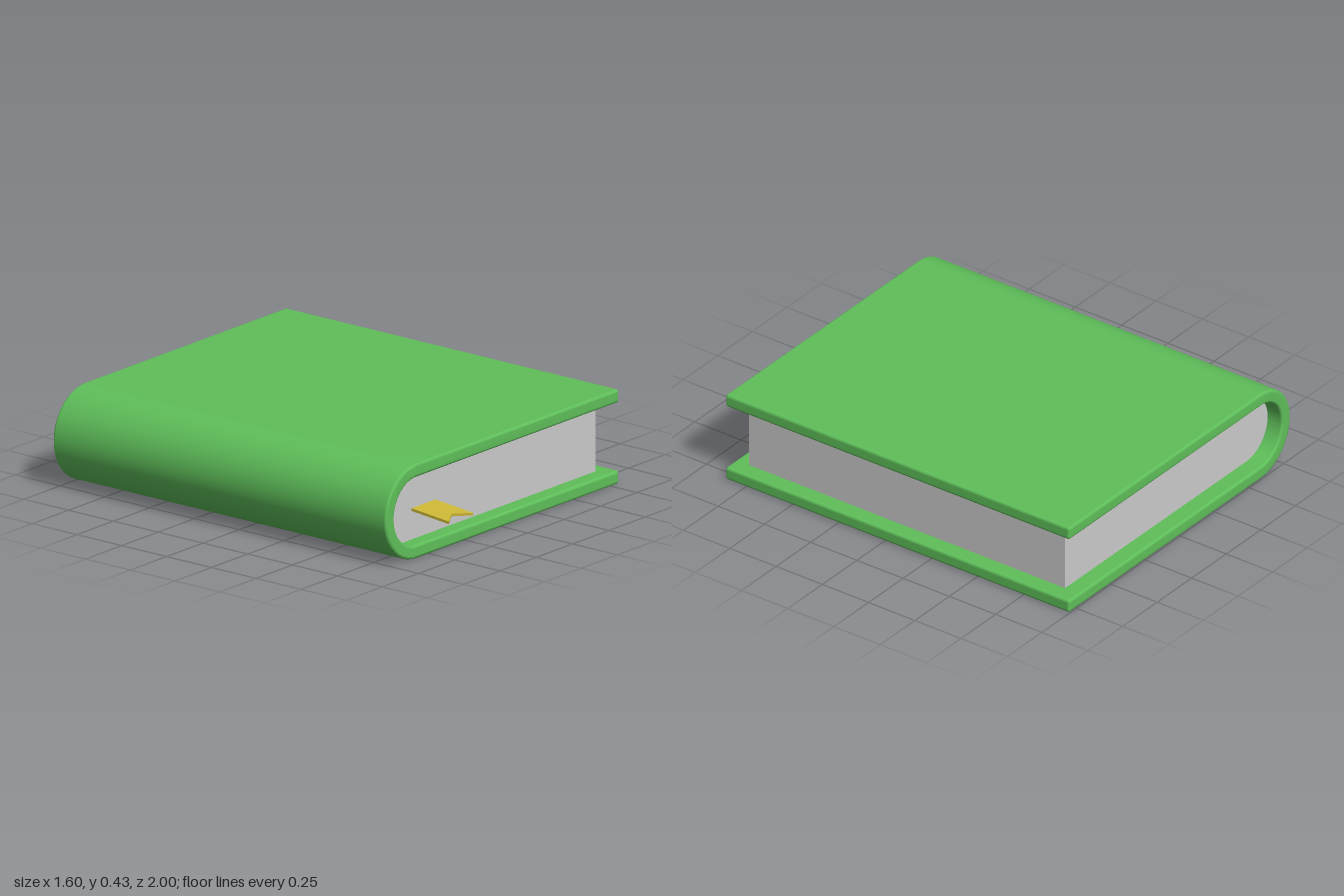
import * as THREE from 'three';
import { mergeVertices, toCreasedNormals } from 'three/addons/utils/BufferGeometryUtils.js';

const MID = 0.216;        // height of the spine axis
const AXIS_X = -0.587;    // where the boards meet the round spine
const OUTER = 0.215;
const INNER = 0.154;
const HALF_PI = Math.PI / 2;

// Adds a board's rounded fore edge, from one height to the other
function foreEdge(shape, y0, y1, x, r) {
  const s = Math.sign(y1 - y0);
  shape.lineTo(x - r, y0);
  shape.quadraticCurveTo(x, y0, x, y0 + s * r);
  shape.lineTo(x, y1 - s * r);
  shape.quadraticCurveTo(x, y1, x - r, y1);
}

// Two boards and a half-round spine as one U-shaped profile
function makeCover(material) {
  const bevel = 0.012;
  const shape = new THREE.Shape();
  shape.moveTo(AXIS_X, MID - OUTER);
  foreEdge(shape, MID - OUTER, MID - INNER, 0.802, 0.015);
  shape.lineTo(AXIS_X, MID - INNER);
  shape.absarc(AXIS_X, MID, INNER, -HALF_PI, HALF_PI, true);
  foreEdge(shape, MID + INNER, MID + OUTER, 0.802, 0.015);
  shape.lineTo(AXIS_X, MID + OUTER);
  shape.absarc(AXIS_X, MID, OUTER, HALF_PI, HALF_PI * 3, false);

  let geometry = new THREE.ExtrudeGeometry(shape, {
    depth: 1.86 - 2 * bevel, curveSegments: 20,
    bevelEnabled: true, bevelThickness: bevel, bevelSize: bevel,
    bevelOffset: -bevel, bevelSegments: 3,
  });
  // Shared vertices give soft rims while the large faces stay flat
  geometry.deleteAttribute('normal');
  geometry.deleteAttribute('uv');
  geometry = mergeVertices(geometry, 1e-5);
  geometry.computeVertexNormals();
  geometry.translate(0, 0, -1 + bevel);
  const cover = new THREE.Mesh(geometry, material);
  cover.name = 'cover';
  return cover;
}

// Page block, filling the inside of the spine
function makePages(material) {
  const shape = new THREE.Shape();
  shape.moveTo(AXIS_X, MID - INNER);
  shape.lineTo(0.725, MID - INNER);
  shape.lineTo(0.725, MID + INNER);
  shape.lineTo(AXIS_X, MID + INNER);
  shape.absarc(AXIS_X, MID, INNER, HALF_PI, HALF_PI * 3, false);
  const geometry = new THREE.ExtrudeGeometry(shape, {
    depth: 1.71, curveSegments: 20, bevelEnabled: false,
  });
  geometry.translate(0, 0, -0.92);
  const pages = new THREE.Mesh(toCreasedNormals(geometry, 0.6), material);
  pages.name = 'pages';
  return pages;
}

// Swallow-tailed ribbon, tilted slightly down out of the pages
function makeBookmark(material) {
  const shape = new THREE.Shape();
  shape.moveTo(-0.54, 0);
  shape.lineTo(-0.375, 0);
  shape.lineTo(-0.375, 0.26);
  shape.lineTo(-0.458, 0.206);
  shape.lineTo(-0.54, 0.26);
  const geometry = new THREE.ExtrudeGeometry(shape, { depth: 0.012, bevelEnabled: false });
  const bookmark = new THREE.Mesh(geometry, material);
  bookmark.rotation.x = HALF_PI + 0.09;
  bookmark.position.set(0, 0.208, 0.741);
  bookmark.name = 'bookmark';
  return bookmark;
}

export function createModel() {
  const book = new THREE.Group();
  book.name = 'book';
  book.add(
    makeCover(new THREE.MeshStandardMaterial({ color: 0x5fbf5a })),
    makePages(new THREE.MeshStandardMaterial({ color: 0xcccccc })),
    makeBookmark(new THREE.MeshStandardMaterial({ color: 0xcdb936 })),
  );
  return book;
}
